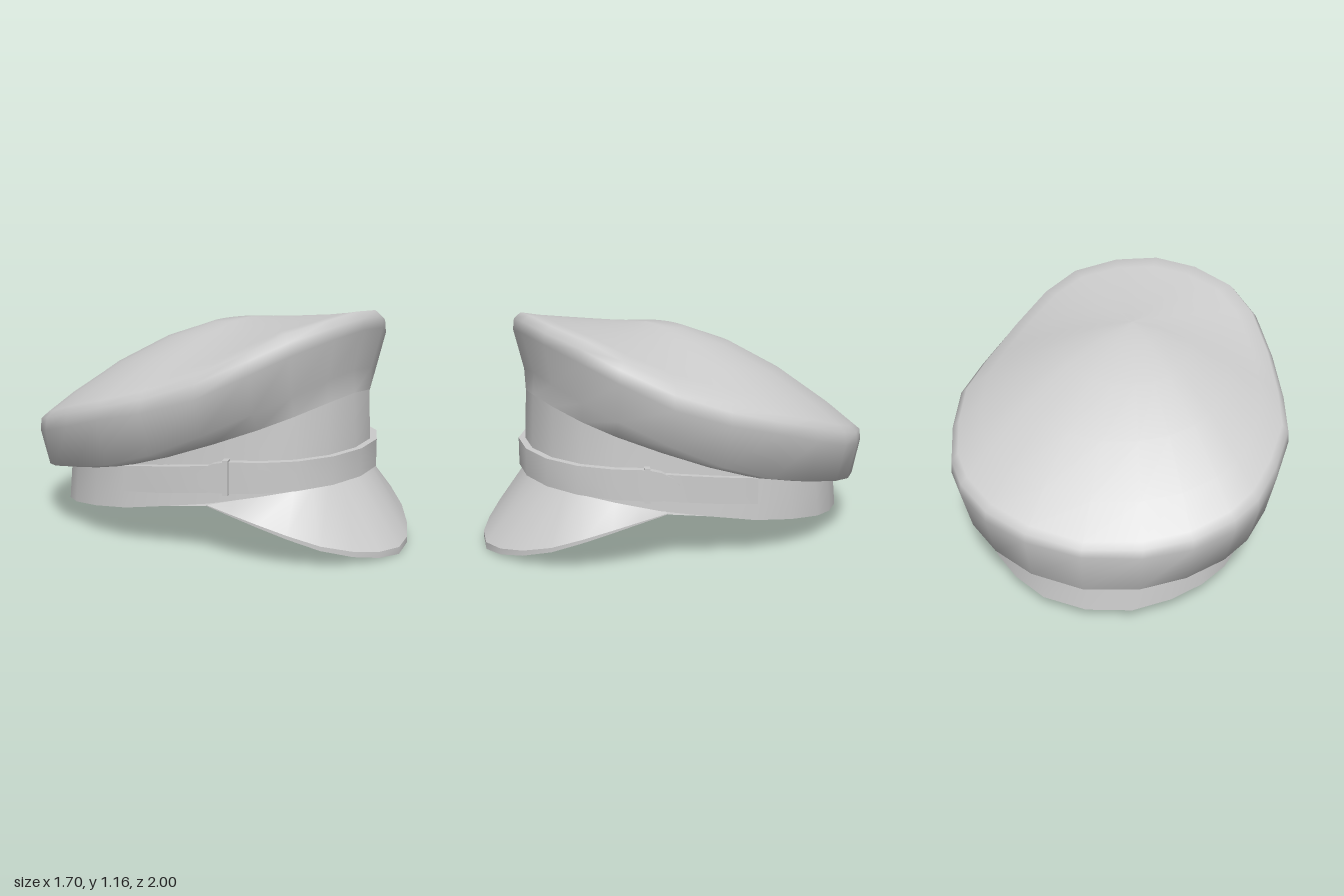
import * as THREE from 'three';
import { toCreasedNormals } from 'three/addons/utils/BufferGeometryUtils.js';

const V = (x, y, z) => new THREE.Vector3(x, y, z);
const material = new THREE.MeshStandardMaterial({ color: 0xcccccc, side: THREE.DoubleSide });

// Half outlines [x, z] from front centre to back centre
const BAND = [[0, .75], [.2, .72], [.36, .63], [.47, .5], [.56, .3], [.635, .08], [.68, -.15],
  [.67, -.36], [.61, -.55], [.52, -.68], [.39, -.8], [.22, -.9], [0, -.935]];
const RIM = [[0, .78], [.23, .75], [.45, .65], [.59, .52], [.71, .3], [.8, .05], [.85, -.17],
  [.82, -.4], [.76, -.6], [.67, -.73], [.5, -.87], [.28, -.96], [0, -1]];

// Heights along those outlines
const Y_BOTTOM = [.365, .36, .345, .32, .275, .24, .2, .17, .14, .118, .1, .085, .078];
const Y_SEAM = [.77, .75, .7, .64, .56, .48, .41, .365, .33, .305, .28, .26, .24];
const Y_BULGE = [.88, .86, .8, .73, .62, .51, .44, .39, .35, .32, .29, .26, .245];
const Y_RIM = [1.08, 1.06, 1, .92, .8, .72, .67, .6, .54, .51, .48, .46, .45];
const Y_TOP = [1.165, 1.145, 1.1, 1.02, .91, .82, .76, .7, .64, .6, .56, .53, .51];

// Closed 24-point ring from a rule giving each half point, mirrored in x
function ring(rule) {
  const half = BAND.map((_, i) => rule(i));
  const other = half.slice(1, -1).reverse().map(p => V(-p.x, p.y, p.z));
  return [...half, ...other];
}

// Outline point scaled about a centre on the z axis
const at = ([x, z], s, y, cz = -.1) => V(x * s, y, cz + (z - cz) * s);

// Skin over a list of cross-sections
function loft(rings, { closed = true, caps = false, crease = 0 } = {}) {
  const n = rings[0].length, index = [];
  const steps = closed ? n : n - 1;
  for (let r = 0; r < rings.length - 1; r++) {
    for (let i = 0; i < steps; i++) {
      const j = (i + 1) % n;
      const a = r * n + i, b = r * n + j, c = b + n, d = a + n;
      index.push(a, b, c, a, c, d);
    }
  }
  if (caps) {
    const e = (rings.length - 1) * n;
    for (let i = 1; i < n - 1; i++) index.push(0, i + 1, i, e, e + i, e + i + 1);
  }
  const g = new THREE.BufferGeometry().setFromPoints(rings.flat());
  g.setIndex(index);
  if (crease) return toCreasedNormals(g, crease);
  g.computeVertexNormals();
  return g;
}

// Strip of leather wrapped round the band; stations are [outline index, middle y, half height]
const bandCurve = new THREE.CatmullRomCurve3(ring(i => at(BAND[i], 1, 0)), true);
function strip(stations, inner, outer) {
  const sections = stations.map(([i, y, h]) => {
    const u = ((i / 24) % 1 + 1) % 1;
    const p = bandCurve.getPoint(u), t = bandCurve.getTangent(u);
    const out = V(-t.z, 0, t.x);
    const corner = (o, dy) => p.clone().addScaledVector(out, o).setY(y + dy);
    return [corner(outer, h), corner(outer, -h), corner(inner, -h), corner(inner, h)];
  });
  return loft(sections, { caps: true, crease: .6 });
}
const mirrored = list => list.map(([i, ...rest]) => [-i, ...rest]).reverse();

export function createModel() {
  const cap = new THREE.Group();
  cap.name = 'peakedCap';
  const add = (name, geometry) => {
    const mesh = new THREE.Mesh(geometry, material);
    mesh.name = name;
    cap.add(mesh);
  };

  // Head band
  const bottom = ring(i => at(BAND[i], 1, Y_BOTTOM[i]));
  const seam = ring(i => at(BAND[i], .98, Y_SEAM[i]));
  add('headBand', loft([bottom, seam]));

  // Flared crown with a rounded rim and a domed, tilted top
  const bulge = ring(i => {
    const k = .7 * Math.min(1, i / 4);
    const [bx, bz] = BAND[i], [rx, rz] = RIM[i];
    const front = i < 4 ? -.025 * (1 - i / 4) : 0;
    return V(bx + (rx - bx) * k, Y_BULGE[i], bz + (rz - bz) * k + front);
  });
  const rim = ring(i => at(RIM[i], 1, Y_RIM[i]));
  const roll = ring(i => at(RIM[i], .993, Y_RIM[i] * .35 + Y_TOP[i] * .65));
  const top = [1, .87, .65, .4, .18, .001].map(t => ring(i => {
    const f = Math.pow(t, 1.75);
    const edge = at(RIM[i], .955, 0);
    return at([edge.x, edge.z], t, Y_TOP[i] * f + 1.09 * (1 - f), .12);
  }));
  add('crown', loft([seam, bulge, rim, roll, ...top]));

  // Sloping visor, thickest at the front
  const inner = [[0, .365, .75], [.1, .363, .738], [.2, .36, .72], [.28, .354, .68],
    [.36, .345, .63], [.47, .32, .5], [.52, .295, .39], [.565, .273, .28]];
  const outer = [[0, .042, 1], [.14, .052, .97], [.27, .075, .9], [.4, .117, .8],
    [.5, .172, .68], [.56, .217, .55], [.59, .25, .42], [.59, .27, .28]];
  const row = (pts, drop) => {
    const half = pts.map(([x, y, z], k) => V(x, y - drop * (1 - k / 8), z));
    return [...half.slice(1).reverse().map(p => V(-p.x, p.y, p.z)), ...half];
  };
  const visorEdge = row(outer, .035);
  add('visor', loft([visorEdge, row(outer, 0), row(inner, 0)], { closed: false, crease: .45 }));

  // Underside running from the visor edge and band to one hub
  const hub = V(0, .29, .17);
  const outline = [...visorEdge, ...bottom.slice(5, 20)].reverse();
  add('underside', loft([0, .5, .999].map(t => outline.map(p => p.clone().lerp(hub, t)))));

  // Front strap with pointed ends
  const strapHalf = [[1, .43, .07], [2, .425, .072], [3, .418, .075], [3.7, .412, .077],
    [4, .404, .07], [4.25, .398, .045], [4.37, .395, .015]];
  add('frontStrap', strip([...mirrored(strapHalf), [0, .43, .07], ...strapHalf], -.01, .028));

  // Side straps and buckles, one pair per side
  const side = [[3.6, .408, .065], [4.4, .39, .066], [5.2, .372, .066], [6, .354, .064]];
  const buckle = [[3.64, .415, .085], [3.76, .413, .085]];
  for (const [name, flip] of [['left', l => l], ['right', mirrored]]) {
    add(name + 'SideStrap', strip(flip(side), -.01, .02));
    add(name + 'Buckle', strip(flip(buckle), 0, .04));
  }
  return cap;
}
